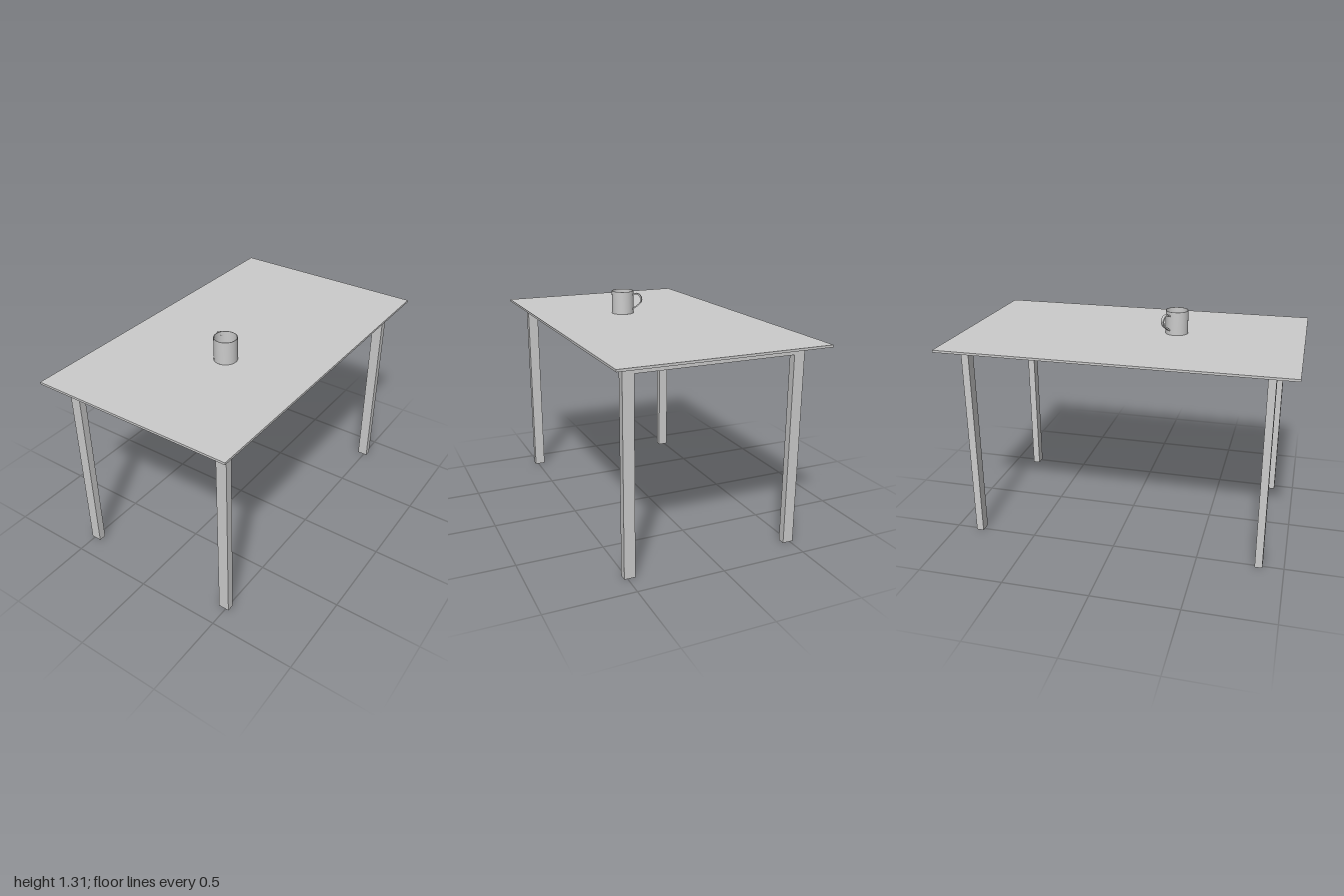
import * as THREE from 'three';

const material = new THREE.MeshStandardMaterial({ color: 0xcccccc });
const thinMaterial = new THREE.MeshStandardMaterial({ color: 0xcccccc, side: THREE.DoubleSide });

const TOP = 1.173; // upper face of the tabletop
const UNDER = 1.16; // lower face of the tabletop

function add(parent, name, geometry, x = 0, y = 0, z = 0, mat = material) {
  const mesh = new THREE.Mesh(geometry, mat);
  mesh.name = name;
  mesh.position.set(x, y, z);
  parent.add(mesh);
  return mesh;
}

// Two legs joined by a rail, as one upside-down U
function endFrameGeometry(depth) {
  const outer = 0.519, inner = 0.456, railBottom = 1.104, railTop = UNDER - 0.001;
  const shape = new THREE.Shape([
    [-outer, 0], [-inner, 0], [-inner, railBottom], [inner, railBottom],
    [inner, 0], [outer, 0], [outer, railTop], [-outer, railTop],
  ].map(([x, y]) => new THREE.Vector2(x, y)));
  return new THREE.ExtrudeGeometry(shape, { depth, bevelEnabled: false });
}

// Flat strip bent along an ear-shaped curve
function handleGeometry(width, thickness) {
  const curve = new THREE.SplineCurve([
    [0.064, 0.113], [0.086, 0.121], [0.107, 0.113], [0.119, 0.09],
    [0.112, 0.066], [0.092, 0.046], [0.064, 0.027],
  ].map(([x, y]) => new THREE.Vector2(x, y)));
  const outside = [], inside = [];
  const steps = 32;
  for (let i = 0; i <= steps; i++) {
    const p = curve.getPoint(i / steps);
    const t = curve.getTangent(i / steps);
    const n = new THREE.Vector2(-t.y, t.x).multiplyScalar(thickness / 2);
    outside.push(p.clone().add(n));
    inside.unshift(p.clone().sub(n));
  }
  const shape = new THREE.Shape([...outside, ...inside]);
  const geometry = new THREE.ExtrudeGeometry(shape, { depth: width, bevelEnabled: false });
  return geometry.translate(0, 0, -width / 2);
}

function createMug() {
  const mug = new THREE.Group();
  mug.name = 'mug';
  const r = 0.067, h = 0.138, wall = 0.003;

  // Outside, rim, inside and floor, with doubled corners to keep edges sharp
  const corners = [[0, 0], [r, 0], [r, h], [r - wall, h], [r - wall, wall], [0, wall]];
  const profile = [];
  corners.forEach(([x, y], i) => {
    if (i > 0 && i < corners.length - 1) {
      const [px, py] = corners[i - 1], [nx, ny] = corners[i + 1];
      const e = 0.0002;
      profile.push(new THREE.Vector2(x + Math.sign(px - x) * e, y + Math.sign(py - y) * e));
      profile.push(new THREE.Vector2(x, y));
      profile.push(new THREE.Vector2(x + Math.sign(nx - x) * e, y + Math.sign(ny - y) * e));
    } else {
      profile.push(new THREE.Vector2(x, y));
    }
  });
  add(mug, 'mugBody', new THREE.LatheGeometry(profile, 48), 0, 0, 0, thinMaterial);

  // Handle points to the back right
  const handle = add(mug, 'mugHandle', handleGeometry(0.02, 0.008));
  handle.rotation.y = 2.545;
  return mug;
}

export function createModel() {
  const model = new THREE.Group();
  model.name = 'tableWithMug';

  // Tabletop
  add(model, 'tabletop', new THREE.BoxGeometry(1.2, TOP - UNDER, 2), 0, (TOP + UNDER) / 2, 0);

  // Leg frames at the two ends
  const depth = 0.043, frontInner = 0.836, backInner = -0.826;
  add(model, 'frontLegFrame', endFrameGeometry(depth), 0, 0, frontInner);
  add(model, 'backLegFrame', endFrameGeometry(depth), 0, 0, backInner - depth);

  // Beam along the middle, between the frames
  add(model, 'centreBeam', new THREE.BoxGeometry(0.06, 0.05, frontInner - backInner),
    0, 1.132, (frontInner + backInner) / 2);

  // Mug on the table
  const mug = createMug();
  mug.position.set(0.068, TOP, 0.248);
  model.add(mug);

  return model;
}
